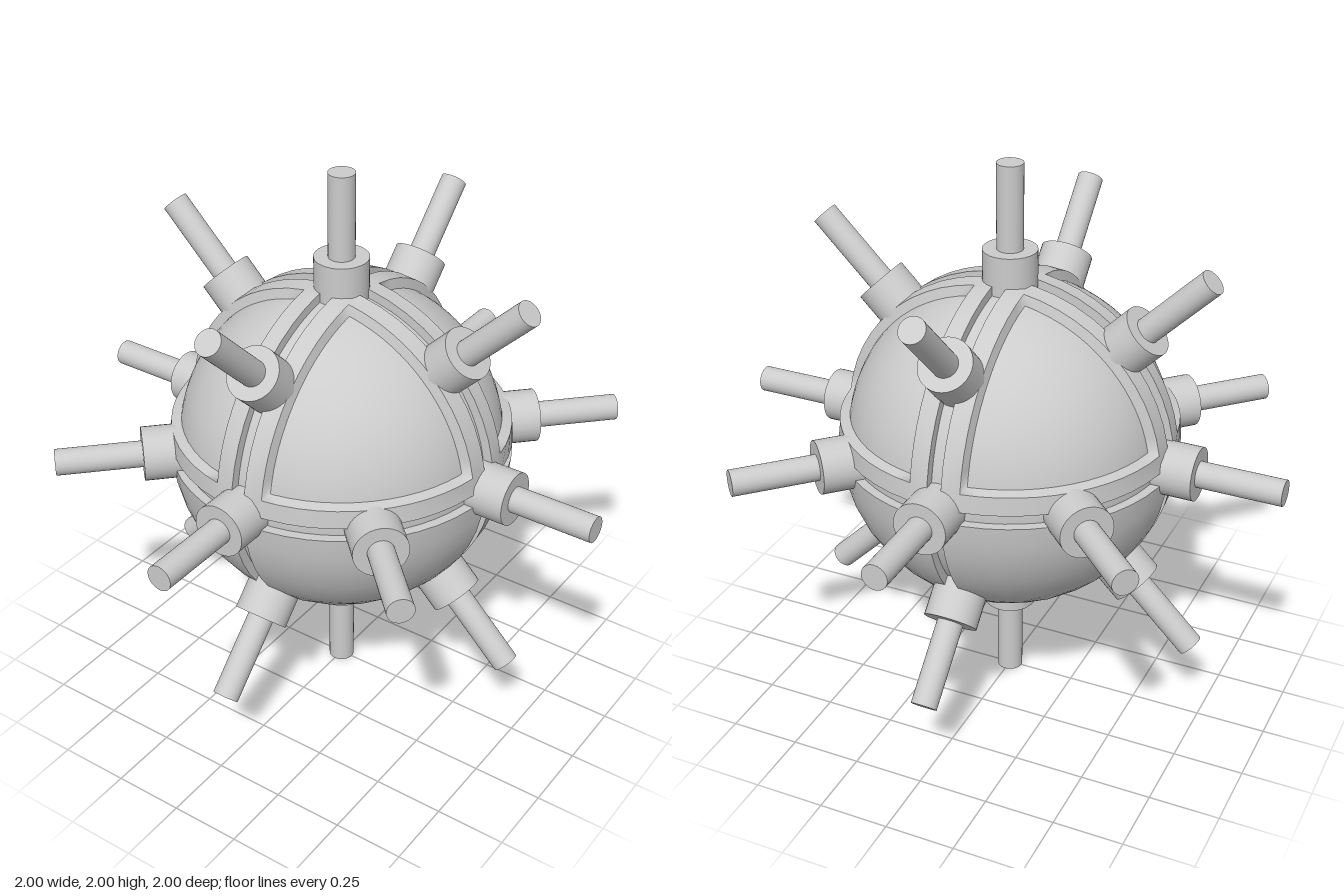
import * as THREE from 'three';
import { mergeGeometries } from 'three/addons/utils/BufferGeometryUtils.js';

const R = 0.6, CORE = 0.567, GROOVE = 0.025, RIM = 0.09, N = 12;

// Point on a sphere of radius r inside the octant x, y, z >= a (u + v + w = 1)
function octantPoint(u, v, w, a, r) {
  const q = new THREE.Vector3(u, v, w).multiplyScalar(Math.PI / 2);
  q.set(Math.sin(q.x), Math.sin(q.y), Math.sin(q.z)).normalize();
  const b = a * (q.x + q.y + q.z);
  const s = -b + Math.sqrt(b * b - 3 * a * a + r * r);
  return q.multiplyScalar(s).addScalar(a);
}

// Closed border of an octant patch
function border(a, r) {
  const pts = [];
  for (let side = 0; side < 3; side++) {
    for (let i = 0; i < N; i++) {
      const c = [0, 0, 0];
      c[side] = 1 - i / N;
      c[(side + 1) % 3] = i / N;
      pts.push(octantPoint(...c, a, r));
    }
  }
  return pts;
}

// Geometry from points and triangles, reflected into the octant given by the signs
function build(pts, tris, [sx, sy, sz]) {
  const flip = sx * sy * sz < 0;
  const g = new THREE.BufferGeometry();
  g.setAttribute('position', new THREE.Float32BufferAttribute(
    pts.flatMap(p => [p.x * sx, p.y * sy, p.z * sz]), 3));
  g.setIndex(tris.flatMap(([a, b, c]) => (flip ? [a, c, b] : [a, b, c])));
  g.computeVertexNormals();
  return g;
}

// Strip from an outer border loop to an inner one
function strip(outer, inner, signs) {
  const n = outer.length, tris = [];
  for (let i = 0; i < n; i++) {
    const j = (i + 1) % n;
    tris.push([i, j, n + i], [j, n + j, n + i]);
  }
  return build([...outer, ...inner], tris, signs);
}

// Full triangular shell patch
function patch(a, r, signs) {
  const pts = [], tris = [];
  const id = (i, j) => i * (i + 1) / 2 + j;
  for (let i = 0; i <= N; i++) {
    for (let j = 0; j <= i; j++) {
      pts.push(octantPoint(1 - i / N, (i - j) / N, j / N, a, r));
      if (i < N) tris.push([id(i, j), id(i + 1, j), id(i + 1, j + 1)]);
      if (i < N && j < i) tris.push([id(i, j), id(i + 1, j + 1), id(i, j + 1)]);
    }
  }
  return build(pts, tris, signs);
}

export function createModel() {
  const model = new THREE.Group();
  const mat = new THREE.MeshStandardMaterial({ color: 0xcccccc, side: THREE.DoubleSide });
  const add = (geometry, name, parent = model) => {
    const mesh = new THREE.Mesh(geometry, mat);
    mesh.name = name;
    parent.add(mesh);
    return mesh;
  };

  const body = new THREE.Group();
  body.name = 'body';
  body.position.y = 1;
  model.add(body);

  // Core: groove floor and sunken upper panels
  add(new THREE.SphereGeometry(CORE, 64, 48), 'core', body);

  // Raised frames above, full shell plates below, split by narrow grooves
  const frames = [], plates = [];
  for (const sx of [1, -1]) {
    for (const sz of [1, -1]) {
      const up = [sx, 1, sz], down = [sx, -1, sz];
      const edge = border(GROOVE, R), foot = border(GROOVE, CORE - 0.01);
      const lip = border(RIM, R), sunk = border(RIM + 0.01, CORE - 0.003);
      frames.push(strip(foot, edge, up), strip(edge, lip, up), strip(lip, sunk, up));
      plates.push(strip(foot, edge, down), patch(GROOVE, R, down));
    }
  }
  add(mergeGeometries(frames), 'upperFrames', body);
  add(mergeGeometries(plates), 'lowerPlates', body);

  // Spikes with collars along the axes and the diagonals between them
  const collar = new THREE.CylinderGeometry(0.094, 0.094, 0.22, 32).translate(0, 0.59, 0);
  const rod = new THREE.CylinderGeometry(0.046, 0.046, 0.35, 32).translate(0, 0.825, 0);
  const up = new THREE.Vector3(0, 1, 0);
  for (let x = -1; x <= 1; x++) {
    for (let y = -1; y <= 1; y++) {
      for (let z = -1; z <= 1; z++) {
        const count = Math.abs(x) + Math.abs(y) + Math.abs(z);
        if (count !== 1 && count !== 2) continue;
        const spike = new THREE.Group();
        spike.name = 'spike';
        spike.quaternion.setFromUnitVectors(up, new THREE.Vector3(x, y, z).normalize());
        add(collar, 'collar', spike);
        add(rod, 'rod', spike);
        body.add(spike);
      }
    }
  }
  return model;
}
